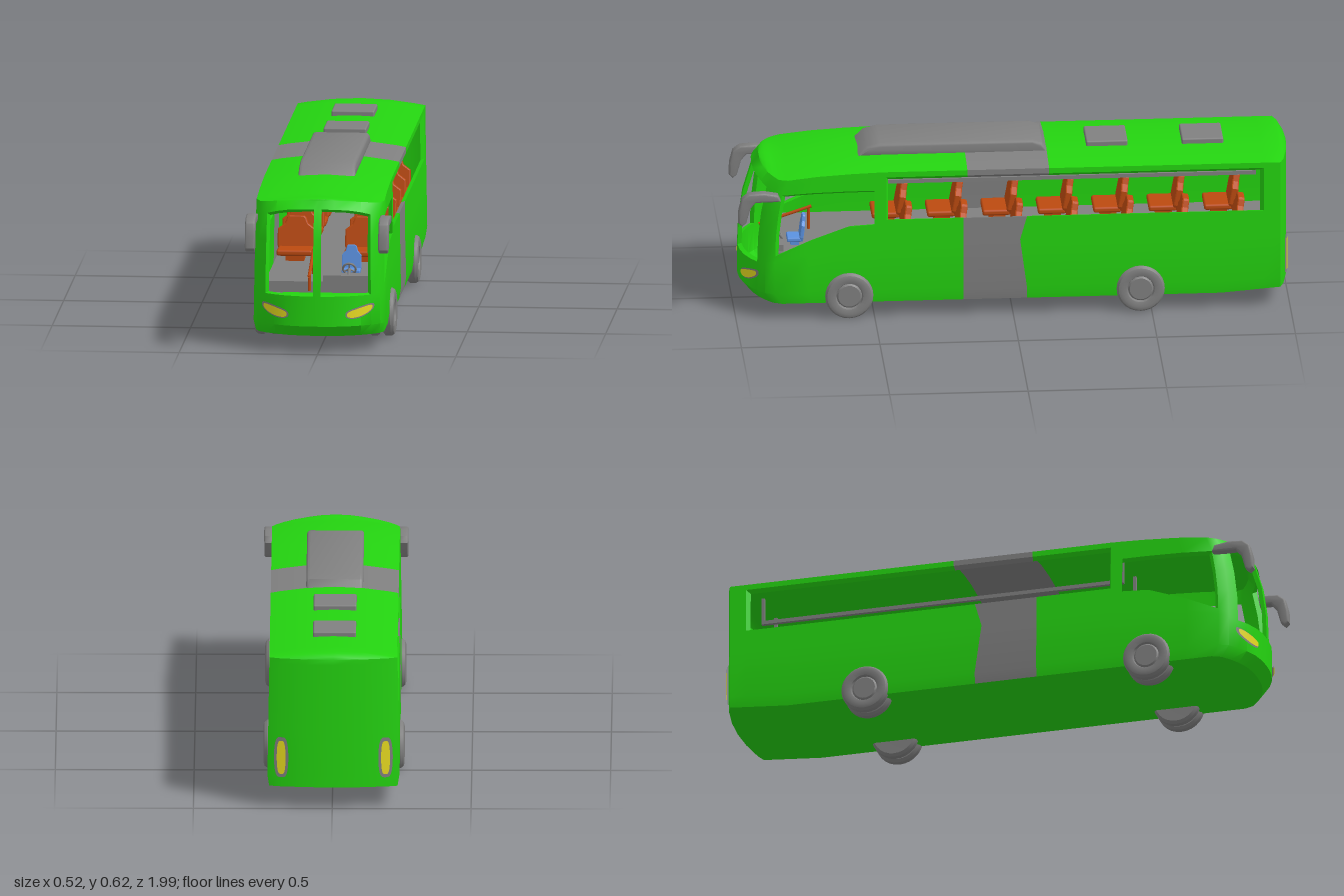
import * as THREE from 'three';
import { toCreasedNormals } from 'three/addons/utils/BufferGeometryUtils.js';
import { RoundedBoxGeometry } from 'three/addons/geometries/RoundedBoxGeometry.js';
import { ParametricGeometry } from 'three/addons/geometries/ParametricGeometry.js';

const material = (name, color) =>
  Object.assign(new THREE.MeshStandardMaterial({ color, side: THREE.DoubleSide }), { name });
const green = material('body green', 0x24d410);
const grey = material('grey', 0x808080);
const orange = material('seat orange', 0xbc4a10);
const yellow = material('lamp yellow', 0xe8dc20);
const blue = material('driver seat blue', 0x5b92e0);

const frontZ = (x) => 0.98 - 0.1 * Math.pow(Math.abs(x) / 0.235, 2.5);
const rearZ = (x) => -1 + 0.03 * Math.pow(x / 0.235, 2);

// How far the front leans back at each height
const leanCurve = [[0.06, -0.035], [0.1, 0], [0.22, 0], [0.33, -0.005], [0.41, -0.018], [0.51, -0.042], [0.56, -0.085]];
function lean(y) {
  for (let i = 1; i < leanCurve.length; i++) {
    const [y0, a] = leanCurve[i - 1], [y1, b] = leanCurve[i];
    if (y <= y1) return a + (b - a) * Math.max(0, (y - y0) / (y1 - y0));
  }
  return leanCurve[leanCurve.length - 1][1];
}

// Half of the plan outline, front centre to rear centre: x, z, window sill, window head, eave, what follows
const front = (x, sill, head, eave, kind) => [x, frontZ(x), sill, head, eave, kind];
const side = (z, sill, head, eave, kind) => [0.235, z, sill, head, eave, kind];
const half = [
  front(0, 0.21, 0.52, 0.548), front(0.014, 0.21, 0.52, 0.548, 'window'), front(0.06, 0.21, 0.519, 0.547, 'window'),
  front(0.11, 0.21, 0.516, 0.545, 'window'), front(0.155, 0.21, 0.508, 0.541, 'window'), front(0.19, 0.21, 0.497, 0.537),
  front(0.22, 0.23, 0.49, 0.533), side(0.86, 0.245, 0.478, 0.535, 'window'), side(0.74, 0.3, 0.485, 0.547, 'window'),
  side(0.6, 0.352, 0.488, 0.554, 'window'), side(0.5, 0.358, 0.488, 0.557), side(0.458, 0.375, 0.538, 0.558, 'window'),
  side(0.18, 0.375, 0.538, 0.558, 'band'), side(-0.05, 0.375, 0.538, 0.558, 'window'), side(-0.45, 0.375, 0.538, 0.558, 'window'),
  side(-0.75, 0.375, 0.538, 0.558, 'window'), side(-0.905, 0.375, 0.538, 0.558), side(-0.965, 0.375, 0.538, 0.558),
  ...[0.2, 0.1, 0].map((x) => [x, rearZ(x), 0.375, 0.538, 0.558]),
];
const last = half.length - 1;
const outline = half.concat(half.slice(1, last).reverse().map((s) => {
  const i = half.indexOf(s);
  return [-s[0], ...s.slice(1, 5), half[i - 1][5]];
}));
outline[last][5] = half[last - 1][5];

// Point of the shell at station i and row k; rows run underside, wall, roof
const roofScale = [0.85, 0.45, 0];
function shellPoint(i, k) {
  const [x, z, sill, head, eave] = outline[i % outline.length];
  const bottom = 0.06 + 0.02 * Math.max(0, (-0.75 - z) / 0.25);
  const low = bottom + 0.04;
  const wall = [bottom, bottom, low, (low + sill) / 2 + 0.05, sill, sill + (head - sill) / 3, sill + (head - sill) * 2 / 3, head, eave];
  const base = wall[Math.min(k, 8)];
  const s = k === 0 ? 0 : k > 8 ? roofScale[k - 9] : 1;
  const y = base + (k > 8 ? 0.023 * (1 - s * s) * Math.abs(x) / 0.235 : 0);
  const taper = (k === 1 ? 0.985 : 1.015) - 0.035 * (base - 0.06) / 0.5;
  let zz = z + lean(base) * Math.min(1, Math.max(0, (z - 0.5) / 0.48));
  if (z === -0.05) zz = k >= 7 ? -0.13 : k === 3 ? -0.025 : z;
  if (z === 0.18 && k >= 7) zz = 0.165;
  return new THREE.Vector3(x * s * taper, y, zz);
}

// Thick shell with window openings and a grey band
function bodyShell() {
  const n = outline.length, rows = 11;
  const kind = (i) => outline[(i + n) % n][5];
  const open = (i, k) => k >= 4 && k <= 6 && (kind(i) === 'window' || kind(i) === 'band');
  const inner = (p) => new THREE.Vector3(p.x * 0.94, 0.3 + (p.y - 0.3) * 0.95, p.z * 0.985);
  const parts = [[], []];
  for (let i = 0; i < n; i++) for (let k = 0; k < rows; k++) {
    if (open(i, k)) continue;
    const out = parts[kind(i) === 'band' && k > 0 ? 1 : 0];
    const quad = (a, b, c, d) => [a, b, c, a, c, d].forEach((p) => out.push(p.x, p.y, p.z));
    const c = [shellPoint(i, k), shellPoint(i + 1, k), shellPoint(i + 1, k + 1), shellPoint(i, k + 1)];
    const d = c.map(inner);
    quad(...c);
    quad(d[3], d[2], d[1], d[0]);
    [[i, k - 1], [i + 1, k], [i, k + 1], [i - 1, k]].forEach(([ni, nk], e) => {
      const f = (e + 1) % 4;
      if (open(ni, nk)) quad(c[f], c[e], d[e], d[f]);
    });
  }
  let geometry = new THREE.BufferGeometry();
  geometry.setAttribute('position', new THREE.Float32BufferAttribute(parts[0].concat(parts[1]), 3));
  geometry = toCreasedNormals(geometry, 0.65);
  geometry.clearGroups();
  geometry.addGroup(0, parts[0].length / 3, 0);
  geometry.addGroup(parts[0].length / 3, parts[1].length / 3, 1);
  return geometry;
}

export function createModel() {
  const bus = new THREE.Group();
  bus.name = 'coach';
  const add = (name, geometry, mat, x = 0, y = 0, z = 0, parent = bus) => {
    const mesh = new THREE.Mesh(geometry, mat);
    mesh.name = name;
    mesh.position.set(x, y, z);
    parent.add(mesh);
    return mesh;
  };
  const box = (name, mat, w, h, d, x, y, z, parent) => add(name, new THREE.BoxGeometry(w, h, d), mat, x, y, z, parent);
  // Side profile in (z, y), extruded across x and centred
  const profile = (points, width, bevel) => {
    const shape = new THREE.Shape(points.map(([z, y]) => new THREE.Vector2(-z, y)));
    const g = new THREE.ExtrudeGeometry(shape, { depth: width - 2 * bevel, bevelSize: bevel, bevelThickness: bevel, bevelOffset: -bevel, bevelSegments: 3 });
    return toCreasedNormals(g.translate(0, 0, -width / 2 + bevel).rotateY(Math.PI / 2), 0.7);
  };
  const rod = (name, mat, a, b, r) =>
    add(name, new THREE.TubeGeometry(new THREE.LineCurve3(new THREE.Vector3(...a), new THREE.Vector3(...b)), 1, r, 8), mat);

  add('bodyShell', bodyShell(), [green, grey]);
  box('floor', grey, 0.39, 0.04, 1.8, 0, 0.225, -0.03);

  // Roof equipment
  add('roofUnit', profile([[0.555, 0.57], [0.52, 0.605], [0.47, 0.617], [-0.08, 0.617], [-0.115, 0.605], [-0.135, 0.57]], 0.205, 0.012), grey);
  for (const z of [-0.35, -0.695]) add('roofHatch', new RoundedBoxGeometry(0.155, 0.03, 0.15, 2, 0.006), grey, -0.003, 0.582, z);

  // Twin wheels
  const tyre = [[0, 0.014], [0.04, 0.014], [0.046, 0.008], [0.05, 0.017], [0.068, 0.022], [0.08, 0.018], [0.087, 0.008],
    [0.087, -0.012], [0.078, -0.021], [0.05, -0.02], [0, -0.02]].reverse().map(([r, h]) => new THREE.Vector2(r, h));
  const wheel = toCreasedNormals(new THREE.LatheGeometry(tyre, 28), 0.6);
  for (const s of [-1, 1]) for (const z of [0.592, -0.46]) {
    for (const x of [0.232, 0.181]) add('wheel', wheel, grey, s * x, 0.088, z).rotation.z = -s * Math.PI / 2;
  }

  // Mirrors
  const mirror = profile([[0.84, 0.465], [0.85, 0.488], [0.9, 0.497], [0.955, 0.494], [0.98, 0.475], [0.992, 0.43], [0.994, 0.385],
    [0.98, 0.372], [0.965, 0.385], [0.95, 0.44], [0.93, 0.462], [0.88, 0.462]], 0.037, 0.006);
  for (const s of [-1, 1]) add('mirror', mirror, grey, s * 0.241, 0, 0);

  // Lamps: thin patches that follow the front and rear surfaces
  const lamp = (name, mat, fn) => add(name, new ParametricGeometry((u, v, p) => fn(u, v, p), 20, 8), mat);
  for (const s of [-1, 1]) {
    for (const [name, mat, grow, lift] of [['headlampRim', grey, 1, 0.006], ['headlamp', yellow, 0.76, 0.01]]) {
      lamp(name, mat, (u, v, p) => {
        const t = -Math.cos(u * Math.PI) * (grow === 1 ? 1 : 0.88);
        const x = 0.153 + t * 0.05;
        const middle = 0.151 + t * 0.014 + t * t * 0.006;
        const y = middle + (v * 2 - 1) * 0.02 * grow * Math.pow(Math.sin(u * Math.PI), 0.7);
        p.set(s * x, y, frontZ(x) + lean(y) + lift);
      });
    }
    for (const [name, mat, w, h, lift] of [['tailLampRim', grey, 0.026, 0.075, 0.007], ['tailLamp', yellow, 0.016, 0.062, 0.011]]) {
      lamp(name, mat, (u, v, p) => {
        const x = 0.188 + (v * 2 - 1) * w * Math.pow(Math.sin(u * Math.PI), 0.5);
        p.set(s * x, 0.19 - Math.cos(u * Math.PI) * h, rearZ(x) - lift);
      });
    }
  }

  // Seats: shouldered back, cushion and pedestal
  const seat = (name, mat, x, z, scale) => {
    const group = new THREE.Group();
    group.name = name;
    const right = [[0.06, 0], [0.068, 0.02], [0.068, 0.08], [0.042, 0.1], [0.034, 0.122], [0.026, 0.128]];
    const points = right.concat(right.map(([a, b]) => [-a, b]).reverse()).map(([a, b]) => new THREE.Vector2(a, b));
    const back = new THREE.ExtrudeGeometry(new THREE.Shape(points), { depth: 0.016, bevelSize: 0.005, bevelOffset: -0.005, bevelThickness: 0.005, bevelSegments: 2 });
    add('seatBack', back, mat, 0, 0.02, 0, group).rotation.x = -0.18;
    add('seatCushion', new RoundedBoxGeometry(0.13, 0.022, 0.1, 2, 0.008), mat, 0, 0.03, 0.055, group);
    box('seatPedestal', mat, 0.066, 0.03, 0.06, 0, 0.01, 0.05, group);
    group.position.set(x, 0.247, z);
    group.scale.set(scale, scale * 0.5 + 0.5, scale);
    bus.add(group);
  };
  for (let row = 0; row < 7; row++) for (const s of [-1, 1]) seat('passengerSeat', orange, s * 0.122, 0.385 - row * 0.2, 1);
  seat('driverSeat', blue, 0.108, 0.755, 0.52);

  // Driver's controls
  box('dashboard', grey, 0.172, 0.055, 0.06, 0.1, 0.243, 0.855);
  add('steeringWheel', new THREE.TorusGeometry(0.023, 0.004, 8, 24), grey, 0.106, 0.287, 0.835).rotation.x = 0.45;
  for (let i = 0; i < 3; i++) {
    const a = i * Math.PI * 2 / 3 + Math.PI / 2;
    rod('steeringSpoke', grey, [0.106, 0.287, 0.835],
      [0.106 + 0.023 * Math.cos(a), 0.287 + 0.021 * Math.sin(a), 0.835 + 0.01 * Math.sin(a)], 0.003);
  }
  rod('steeringColumn', grey, [0.106, 0.287, 0.835], [0.106, 0.255, 0.875], 0.006);

  // Entrance handrail
  rod('entranceRail', orange, [-0.034, 0.268, 0.9], [-0.034, 0.332, 0.71], 0.006);
  for (const [z, top] of [[0.89, 0.27], [0.72, 0.328]]) rod('entrancePost', orange, [-0.034, 0.215, z], [-0.034, top, z], 0.005);

  // Ceiling grab rails with end hangers
  for (const s of [-1, 1]) {
    box('grabRail', grey, 0.014, 0.014, 1.35, s * 0.086, 0.467, -0.21);
    for (const z of [0.46, -0.88]) box('railHanger', grey, 0.014, 0.11, 0.012, s * 0.086, 0.515, z);
  }

  for (const part of bus.children) part.position.x -= 0.004;
  return bus;
}
